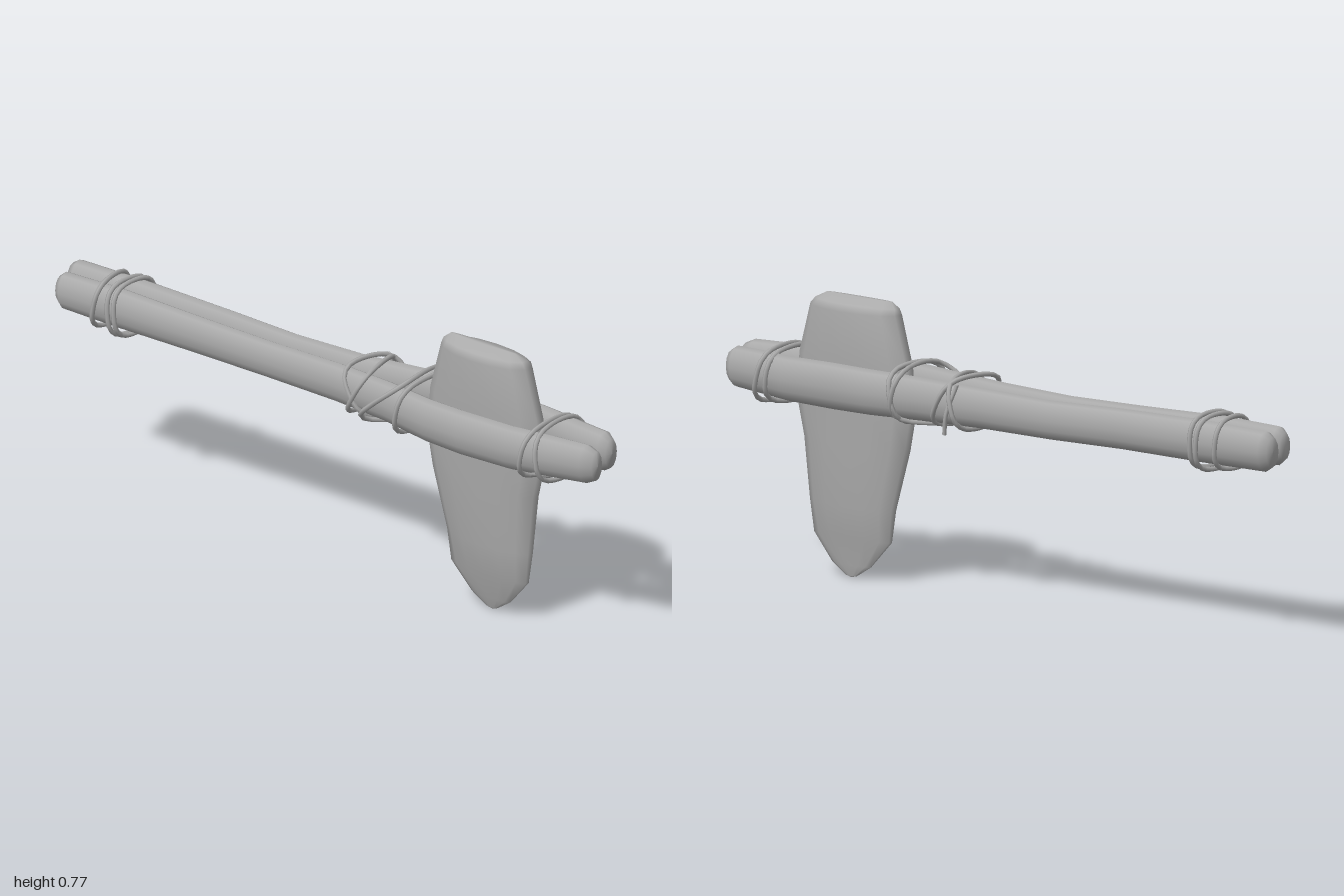
import * as THREE from 'three';

// Skin a list of rings (arrays of [x, y, z]) into one smooth closed surface
function loft(rings) {
  const n = rings[0].length, index = [];
  for (let i = 0; i < rings.length - 1; i++) {
    for (let j = 0; j < n; j++) {
      const k = (j + 1) % n, a = i * n + j, b = i * n + k, c = a + n, d = b + n;
      index.push(a, b, c, b, d, c);
    }
  }
  const g = new THREE.BufferGeometry();
  g.setAttribute('position', new THREE.Float32BufferAttribute(rings.flat(2), 3));
  g.setIndex(index);
  g.computeVertexNormals();
  return g;
}

const angles = (n) => Array.from({ length: n }, (_, i) => (i / n) * Math.PI * 2);

// Stick along z; rows are [z, x, y, half width, half height]
function stickGeometry(rows) {
  return loft(rows.map(([z, x, y, rx, ry]) =>
    angles(12).map((a) => [x + rx * Math.cos(a), y + ry * Math.sin(a), z])));
}

// Blade along y; rows are [y, z, half depth, x, half width]
function bladeGeometry(rows) {
  return loft(rows.map(([y, z, rz, x, rx]) =>
    angles(14).map((a) => [x + rx * Math.cos(a), y, z - rz * Math.sin(a)])));
}

// Cord turn around both sticks; corner depths run: -x top, +x top, +x bottom, -x bottom
function cordGeometry(x0, x1, y0, y1, [zA, zB, zC, zD]) {
  const soft = (v) => Math.sign(v) * Math.pow(Math.abs(v), 0.7);
  const points = angles(14).map((a) => {
    const u = (soft(Math.cos(a)) + 1) / 2, v = (soft(Math.sin(a)) + 1) / 2;
    const top = zA + (zB - zA) * u, bottom = zD + (zC - zD) * u;
    return new THREE.Vector3(x0 + (x1 - x0) * u, y0 + (y1 - y0) * v, bottom + (top - bottom) * v);
  });
  return new THREE.TubeGeometry(new THREE.CatmullRomCurve3(points, true), 28, 0.007, 6, true);
}

export function createModel() {
  const model = new THREE.Group();
  const grey = new THREE.MeshStandardMaterial({ color: 0xaaaaaa });
  grey.name = 'plain grey';
  const add = (name, geometry, parent = model) => {
    const mesh = new THREE.Mesh(geometry, grey);
    mesh.name = name;
    parent.add(mesh);
  };

  // Stone blade
  add('blade', bladeGeometry([
    [0, 0.56, 0, 0.007, 0], [0.005, 0.56, 0.02, 0.007, 0.005], [0.035, 0.56, 0.07, 0.005, 0.012],
    [0.11, 0.56, 0.14, 0, 0.027], [0.2, 0.56, 0.152, 0, 0.045], [0.37, 0.547, 0.188, -0.003, 0.052],
    [0.47, 0.55, 0.21, -0.004, 0.057], [0.6, 0.552, 0.2, -0.004, 0.062],
    [0.74, 0.553, 0.158, -0.005, 0.066], [0.757, 0.55, 0.148, -0.007, 0.048],
    [0.774, 0.545, 0.12, -0.01, 0.008], [0.774, 0.545, 0, -0.01, 0],
  ]));

  // Two handle sticks that bow around the blade
  add('rightStick', stickGeometry([
    [-0.965, -0.055, 0.545, 0, 0], [-0.965, -0.055, 0.545, 0.022, 0.038], [-0.945, -0.055, 0.545, 0.033, 0.054],
    [-0.75, -0.053, 0.545, 0.034, 0.058], [-0.45, -0.048, 0.54, 0.03, 0.054], [-0.2, -0.044, 0.536, 0.029, 0.053],
    [0.05, -0.048, 0.538, 0.031, 0.056], [0.25, -0.066, 0.54, 0.033, 0.058], [0.42, -0.091, 0.538, 0.034, 0.062],
    [0.55, -0.095, 0.537, 0.033, 0.064], [0.72, -0.086, 0.537, 0.035, 0.063], [0.85, -0.066, 0.54, 0.037, 0.06],
    [0.96, -0.05, 0.543, 0.034, 0.056], [0.992, -0.045, 0.543, 0.022, 0.042], [0.997, -0.045, 0.543, 0, 0],
  ]));
  add('leftStick', stickGeometry([
    [-1, 0.032, 0.545, 0, 0], [-0.998, 0.032, 0.545, 0.025, 0.042], [-0.975, 0.032, 0.545, 0.037, 0.056],
    [-0.75, 0.032, 0.545, 0.036, 0.059], [-0.45, 0.036, 0.542, 0.032, 0.056], [-0.2, 0.042, 0.535, 0.03, 0.054],
    [0.05, 0.048, 0.537, 0.032, 0.056], [0.25, 0.07, 0.54, 0.035, 0.06], [0.42, 0.088, 0.54, 0.034, 0.063],
    [0.55, 0.089, 0.54, 0.033, 0.064], [0.72, 0.08, 0.538, 0.036, 0.062], [0.84, 0.063, 0.54, 0.038, 0.06],
    [0.93, 0.056, 0.542, 0.036, 0.057], [0.955, 0.053, 0.542, 0.024, 0.042], [0.96, 0.053, 0.542, 0, 0],
  ]));

  // Cord lashings
  const lashings = {
    frontLashing: [
      [-0.127, 0.118, 0.462, 0.608, [0.8, 0.765, 0.785, 0.77]],
      [-0.112, 0.116, 0.458, 0.611, [0.82, 0.79, 0.83, 0.835]],
    ],
    middleLashing: [
      [-0.126, 0.122, 0.465, 0.618, [0.345, 0.335, 0.3, 0.31]],
      [-0.122, 0.126, 0.467, 0.622, [0.335, 0.29, 0.33, 0.14]],
      [-0.105, 0.11, 0.47, 0.61, [0.195, 0.125, 0.09, 0.11]],
      [-0.1, 0.105, 0.472, 0.614, [0.09, 0.125, 0.2, 0.175]],
    ],
    backLashing: [
      [-0.1, 0.073, 0.468, 0.617, [-0.735, -0.735, -0.73, -0.725]],
      [-0.098, 0.074, 0.464, 0.615, [-0.76, -0.76, -0.75, -0.75]],
      [-0.1, 0.072, 0.474, 0.613, [-0.79, -0.83, -0.815, -0.82]],
    ],
  };
  for (const [name, turns] of Object.entries(lashings)) {
    const group = new THREE.Group();
    group.name = name;
    turns.forEach((t, i) => add('cordTurn' + (i + 1), cordGeometry(...t), group));
    model.add(group);
  }

  // Loose cord ends
  const ends = {
    frontCordEnd: [[-0.11, 0.49, 0.81], [-0.05, 0.474, 0.83], [-0.01, 0.483, 0.835]],
    middleCordEnd: [[0.09, 0.6, 0.1], [0.112, 0.52, 0.12], [0.108, 0.462, 0.13]],
  };
  for (const [name, pts] of Object.entries(ends)) {
    const curve = new THREE.CatmullRomCurve3(pts.map((p) => new THREE.Vector3(...p)));
    add(name, new THREE.TubeGeometry(curve, 8, 0.006, 6));
  }
  return model;
}
